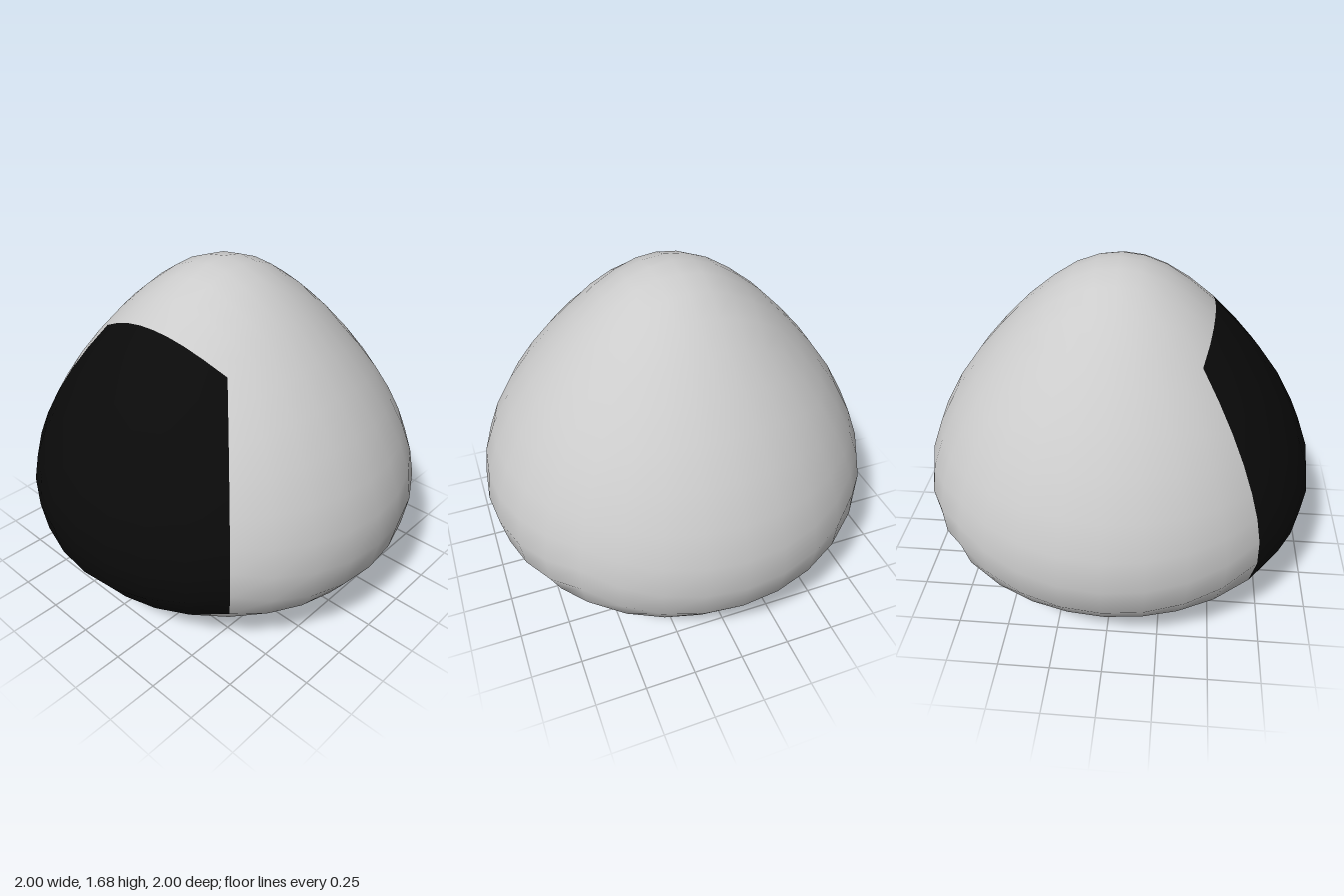
import * as THREE from 'three';
import { mergeGeometries } from 'three/addons/utils/BufferGeometryUtils.js';

const STEPS = 8; // quads along each side of a patch

// Half outline (radius, height) from top to bottom, one point every 11.25 degrees.
// The first and last points mirror across the axis so both poles stay flat.
const outline = [
  [-0.11, 1.67], [0, 1.687], [0.11, 1.67], [0.22, 1.63], [0.335, 1.555], [0.46, 1.453],
  [0.59, 1.32], [0.71, 1.18], [0.825, 1.02], [0.92, 0.845], [0.98, 0.68], [1, 0.52],
  [0.965, 0.36], [0.875, 0.24], [0.72, 0.135], [0.505, 0.065], [0.27, 0.02], [0, 0.004],
  [-0.27, 0.02],
];
const profile = new THREE.SplineCurve(outline.map(([r, y]) => new THREE.Vector2(r, y)));

// Point and outward normal of the rounded body in a given direction
function surface(dir) {
  const polar = Math.acos(THREE.MathUtils.clamp(dir.y / dir.length(), -1, 1));
  const t = (1 + 16 * polar / Math.PI) / (outline.length - 1);
  const p = profile.getPoint(t);
  const d = profile.getPoint(t + 0.002).sub(profile.getPoint(t - 0.002));
  const flat = Math.hypot(dir.x, dir.z);
  const c = flat > 1e-6 ? dir.x / flat : 0;
  const s = flat > 1e-6 ? dir.z / flat : 0;
  return {
    point: new THREE.Vector3(p.x * c, p.y, p.x * s),
    normal: new THREE.Vector3(-d.y * c, d.x, -d.y * s).normalize(),
  };
}

// One of six patches: a cube face, turned by the rotation, wrapped onto the body
function patch(rx, ry) {
  const geo = new THREE.PlaneGeometry(2, 2, STEPS, STEPS);
  const { position, normal } = geo.attributes;
  const turn = new THREE.Euler(rx, ry, 0);
  for (let i = 0; i < position.count; i++) {
    const u = Math.tan(position.getX(i) * Math.PI / 4);
    const v = Math.tan(position.getY(i) * Math.PI / 4);
    const hit = surface(new THREE.Vector3(u, v, 1).applyEuler(turn));
    position.setXYZ(i, ...hit.point);
    normal.setXYZ(i, ...hit.normal);
  }
  return geo;
}

export function createModel() {
  const group = new THREE.Group();
  const add = (name, geo, color) => {
    const mesh = new THREE.Mesh(geo, new THREE.MeshStandardMaterial({ color }));
    mesh.name = name;
    group.add(mesh);
  };
  const q = Math.PI / 2;

  // Shell: sides, back, top and bottom
  add('shell', mergeGeometries([
    patch(0, q), patch(0, -q), patch(0, 2 * q), patch(-q, 0), patch(q, 0),
  ]), 0xcccccc);

  // Dark front panel fills the remaining patch
  add('frontPanel', patch(0, 0), 0x0a0a0a);
  return group;
}
